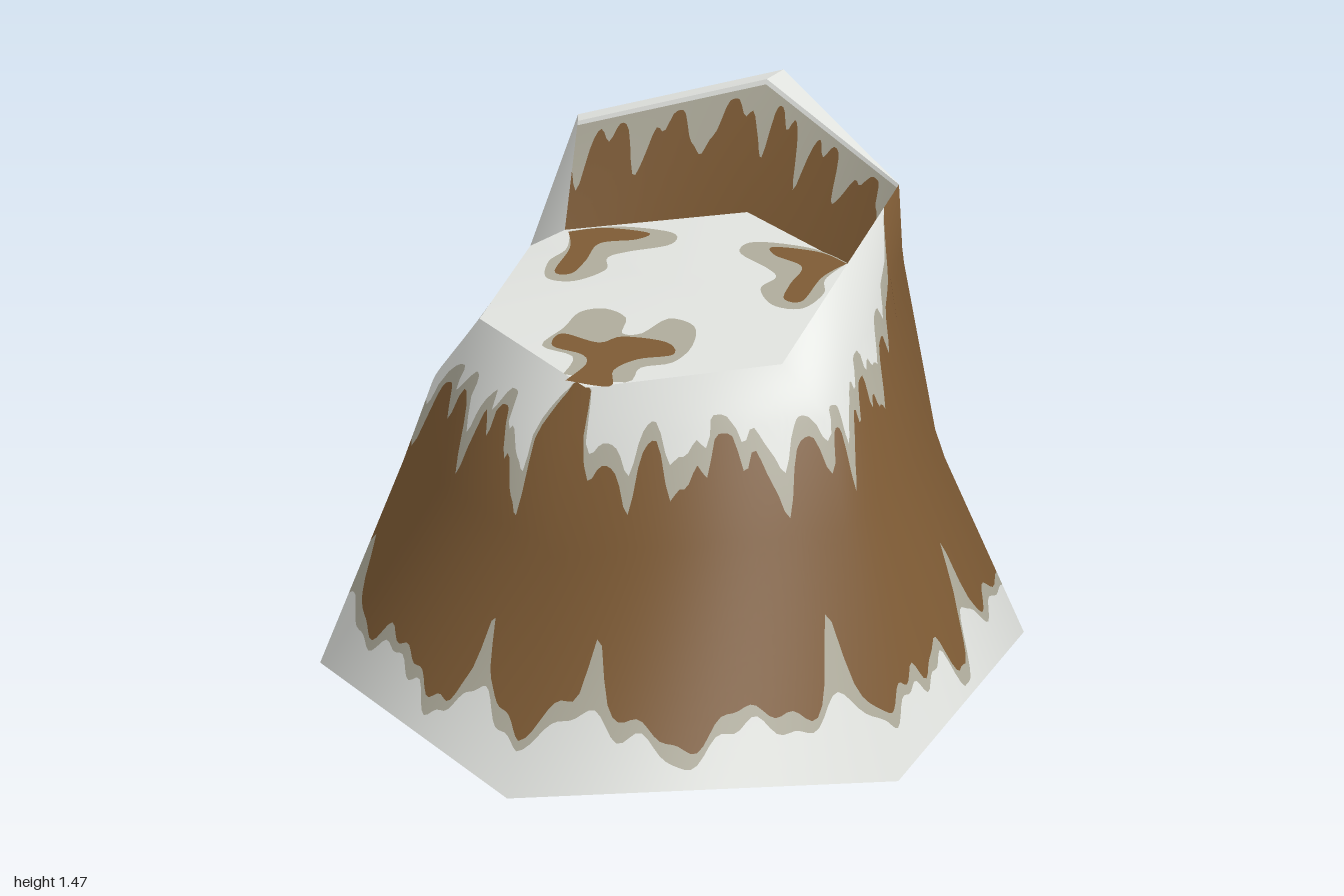
import * as THREE from 'three';

const mat = (name, color) => {
  const m = new THREE.MeshStandardMaterial({ color, side: THREE.DoubleSide });
  m.name = name;
  return m;
};
const { sin, cos, pow, min, max, exp, PI } = Math;

// Height of the tilted summit floor
const floorY = z => 0.9 + (0.51 - z) * 0.255;

// Shared corner points of the summit
const P = {
  front: [-0.04, 0.9, 0.51], frontRight: [0.4, 0.953, 0.3], backRight: [0.515, 1.29, -0.25],
  back: [0.04, 1.47, -0.66], backLeft: [-0.44, 1.37, -0.34], left: [-0.53, 1.02, -0.21],
  frontLeft: [-0.45, 0.96, 0.27],
  innerLeft: [-0.4, 1.375, -0.25], innerBack: [0.04, 1.47, -0.53],
  footLeft: [-0.42, 1.08, -0.2], footBack: [0.04, 1.13, -0.39], footRight: [0.41, 1.076, -0.18],
};

// Rings run front, front right, back right, back, back left, left, front left
const bodyRings = [
  [[-0.04, 0, 1], [0.81, 0, 0.55], [0.85, 0, -0.44], [0.07, 0, -1], [-0.8, 0, -0.48], [-0.807, 0, -0.34], [-0.85, 0, 0.48]],
  [[-0.03, 0.53, 0.74], [0.61, 0.57, 0.4], [0.62, 0.57, -0.32], [0.05, 0.57, -0.73], [-0.58, 0.57, -0.36], [-0.59, 0.57, -0.25], [-0.64, 0.57, 0.36]],
  [[-0.04, 0.79, 0.65], [0.54, 0.84, 0.34], [0.53, 1.1, -0.25], [0.04, 1.15, -0.64], [-0.51, 1.1, -0.32], [-0.555, 0.93, -0.21], [-0.57, 0.8, 0.3]],
  [P.front, P.frontRight, P.backRight, P.back, P.backLeft, P.left, P.frontLeft],
];
const wallRings = [
  [P.footLeft, P.footBack, P.footRight],
  [P.innerLeft, P.innerBack, P.backRight],
];

function geometryFrom(pos, index, normals) {
  const g = new THREE.BufferGeometry();
  g.setAttribute('position', new THREE.Float32BufferAttribute(pos, 3));
  g.setIndex(index);
  if (normals) g.setAttribute('normal', new THREE.Float32BufferAttribute(normals, 3));
  else g.computeVertexNormals();
  return g;
}

// Smoothly shaded surface through rings of corners, sampled at (u, t)
function makeSurface(rings, closed) {
  const n = rings[0].length, index = [];
  for (let r = 0; r < rings.length - 1; r++) {
    for (let i = 0; i < (closed ? n : n - 1); i++) {
      const a = r * n + i, b = r * n + (i + 1) % n;
      index.push(a, b, b + n, a, b + n, a + n);
    }
  }
  const g = geometryFrom(rings.flat(2), index);
  const read = (name, u, t) => {
    const i = min(Math.floor(u), closed ? n - 1 : n - 2), r = min(Math.floor(t), rings.length - 2);
    const at = (row, col) => new THREE.Vector3().fromBufferAttribute(g.attributes[name], row * n + col % n);
    const low = at(r, i).lerp(at(r, i + 1), u - i), high = at(r + 1, i).lerp(at(r + 1, i + 1), u - i);
    return low.lerp(high, t - r);
  };
  return {
    span: closed ? n : n - 1,
    point: (u, t) => read('position', u, t),
    normal: (u, t) => read('normal', u, t).normalize(),
  };
}

// One coloured band of a surface between two t limits
function strip(surface, lo, hi, cols, rows) {
  const pos = [], nor = [], index = [];
  for (let c = 0; c <= cols; c++) {
    const u = surface.span * c / cols, a = lo(u), b = max(a, hi(u));
    for (let r = 0; r <= rows; r++) {
      const t = a + (b - a) * r / rows;
      pos.push(...surface.point(u, t).toArray());
      nor.push(...surface.normal(u, t).toArray());
      if (c < cols && r < rows) {
        const k = c * (rows + 1) + r, m = k + rows + 1;
        index.push(k, m, m + 1, k, m + 1, k + 1);
      }
    }
  }
  return geometryFrom(pos, index, nor);
}

// Polygons given as lists of corners, each split into a fan
function polygons(...lists) {
  const pos = [], index = [];
  for (const list of lists) {
    const s = pos.length / 3;
    pos.push(...list.flat());
    for (let i = 1; i < list.length - 1; i++) index.push(s, s + i, s + i + 1);
  }
  return geometryFrom(pos, index);
}

export function createModel() {
  const group = new THREE.Group();
  group.name = 'mountain';
  const rock = mat('brown rock', 0x7d5a34);
  const snow = mat('white snow', 0xe0e2de);
  const slush = mat('grey slush', 0xaeab9b);
  const add = (name, geometry, material) => {
    const m = new THREE.Mesh(geometry, material);
    m.name = name;
    group.add(m);
  };

  // Mountain sides, banded by height
  const body = makeSurface(bodyRings, true);
  const angle = u => { const p = body.point(u, 0); return Math.atan2(p.x, p.z); };
  const bump = (a, deg, width) => {
    const d = ((a * 180 / PI - deg + 540) % 360) - 180;
    return exp(-pow(d / width, 2));
  };
  const bumps = (a, list, width) => list.reduce((s, deg) => s + bump(a, deg, width), 0);
  const spikes = [-15, 7.5, 50, 100, 124, 165, -168, -134, -98, -60];
  const drips = [-27, 22, 90, 142, -145, -85];
  const atHeight = (u, h) => {
    for (let t = 0; t < 3; t++) {
      const y0 = body.point(u, t).y, y1 = body.point(u, t + 1).y;
      if (h <= y1) return t + max(0, (h - y0) / (y1 - y0));
    }
    return 3;
  };
  const snowTop = u => {
    const a = angle(u);
    return max(0.03, 0.13 + 0.02 * sin(23 * a) + 0.012 * sin(53 * a) + 0.05 * bumps(a, spikes, 4) - 0.1 * bumps(a, drips, 4));
  };
  const slushTop = u => {
    const a = angle(u);
    return snowTop(u) + 0.035 + 0.012 * sin(37 * a) + 0.14 * bumps(a, spikes, 1.6);
  };
  const capDepth = u => {
    const a = angle(u);
    const d = 0.1 + 0.24 * (1 - cos(a)) / 2 + 0.13 * pow((1 + sin(17 * a + 1)) / 2, 3)
      + 0.09 * pow((1 + sin(41 * a)) / 2, 3) + 0.1 * (bump(a, -16, 4) + bump(a, 10, 4));
    return d * max(0, 1 - 1.3 * (bump(a, 115, 10) + bump(a, -114, 8) + bump(a, -4, 6)));
  };
  const rimY = u => body.point(u, 3).y;
  const levels = [
    () => 0,
    u => atHeight(u, snowTop(u)),
    u => atHeight(u, slushTop(u)),
    u => atHeight(u, rimY(u) - capDepth(u)),
    u => atHeight(u, rimY(u) - capDepth(u) * 0.68),
    () => 3,
  ];
  [['baseSnow', snow, 3], ['baseSlush', slush, 2], ['rockSides', rock, 18], ['capSlush', slush, 3], ['capSnow', snow, 6]]
    .forEach(([name, m, rows], i) => add(name, strip(body, levels[i], levels[i + 1], 420, rows), m));

  // Wall behind the summit floor with slush running down it
  const wall = makeSurface(wallRings, false);
  const wallDrip = u => 1 - 0.1 - 0.4 * pow((1 + sin(19 * u + 1)) / 2, 3) - 0.15 * pow((1 + sin(43 * u)) / 2, 2);
  add('wallRock', strip(wall, () => 0, wallDrip, 120, 4), rock);
  add('wallSlush', strip(wall, wallDrip, u => max(wallDrip(u), 0.96), 120, 2), slush);
  add('wallSnow', strip(wall, u => max(wallDrip(u), 0.96), () => 1, 120, 1), snow);

  // Flat crest on top of the wall, and the wall's ends
  add('crest', polygons(
    [P.innerLeft, P.innerBack, P.back, P.backLeft],
    [P.innerBack, P.backRight, P.back]), snow);
  add('leftWallEnd', polygons([P.left, P.footLeft, P.innerLeft, P.backLeft]), snow);
  const mix = (a, b, k) => a.map((v, i) => v + (b[i] - v) * k);
  const m1 = mix(P.footRight, P.backRight, 0.55), m2 = mix(P.frontRight, P.backRight, 0.75);
  add('rightWallEnd', polygons([P.footRight, P.frontRight, m2, m1]), snow);
  add('rightWallTip', polygons([m1, m2, P.backRight]), rock);

  // Snowy summit floor
  add('summitFloor', polygons([[0, floorY(0), 0], P.front, P.frontRight, P.footRight, P.footBack,
    P.footLeft, P.left, P.frontLeft, P.front]), snow);

  // Thin patches lying on the floor, outlined in x and z
  const patch = (name, outline, lift, material, flip = 1) => {
    const pts = outline.map(([x, z]) => new THREE.Vector2(x * flip, z));
    const curve = new THREE.SplineCurve([...pts, pts[0]]);
    const g = new THREE.ShapeGeometry(new THREE.Shape(curve.getPoints(60)));
    const p = g.attributes.position;
    for (let i = 0; i < p.count; i++) {
      const x = p.getX(i), z = p.getY(i);
      p.setXYZ(i, x, floorY(z) + lift, z);
    }
    // Turn the faces upward
    const ix = g.index.array;
    for (let i = 0; i < ix.length; i += 3) [ix[i], ix[i + 1]] = [ix[i + 1], ix[i]];
    g.computeVertexNormals();
    add(name, g, material);
  };
  patch('frontSlushPatch', [[-0.12, 0.47], [-0.13, 0.39], [-0.23, 0.36], [-0.21, 0.27], [-0.2, 0.19], [-0.14, 0.16],
    [-0.07, 0.19], [-0.05, 0.26], [0.0, 0.25], [0.04, 0.17], [0.12, 0.19], [0.15, 0.28], [0.13, 0.36], [0.06, 0.4], [0.05, 0.47]], 0.003, slush);
  patch('frontRockPatch', [[-0.1, 0.5], [-0.08, 0.42], [-0.11, 0.38], [-0.2, 0.36], [-0.2, 0.3], [-0.09, 0.32],
    [-0.04, 0.28], [0.08, 0.28], [0.12, 0.33], [0.04, 0.37], [0.0, 0.43], [0.02, 0.5]], 0.006, rock);
  for (const side of [-1, 1]) {
    const name = side < 0 ? 'right' : 'left';
    patch(name + 'SlushPatch', [[0.4, -0.19], [0.28, -0.24], [0.12, -0.24], [0.1, -0.18], [0.2, -0.12], [0.24, -0.08],
      [0.22, -0.02], [0.28, 0.05], [0.36, 0.05], [0.39, -0.03], [0.37, -0.1]], 0.003, slush, side);
    patch(name + 'RockPatch', [[0.4, -0.18], [0.31, -0.22], [0.18, -0.22], [0.2, -0.18], [0.29, -0.14],
      [0.29, -0.05], [0.3, 0.02], [0.35, 0.02], [0.36, -0.1]], 0.006, rock, side);
  }
  return group;
}
